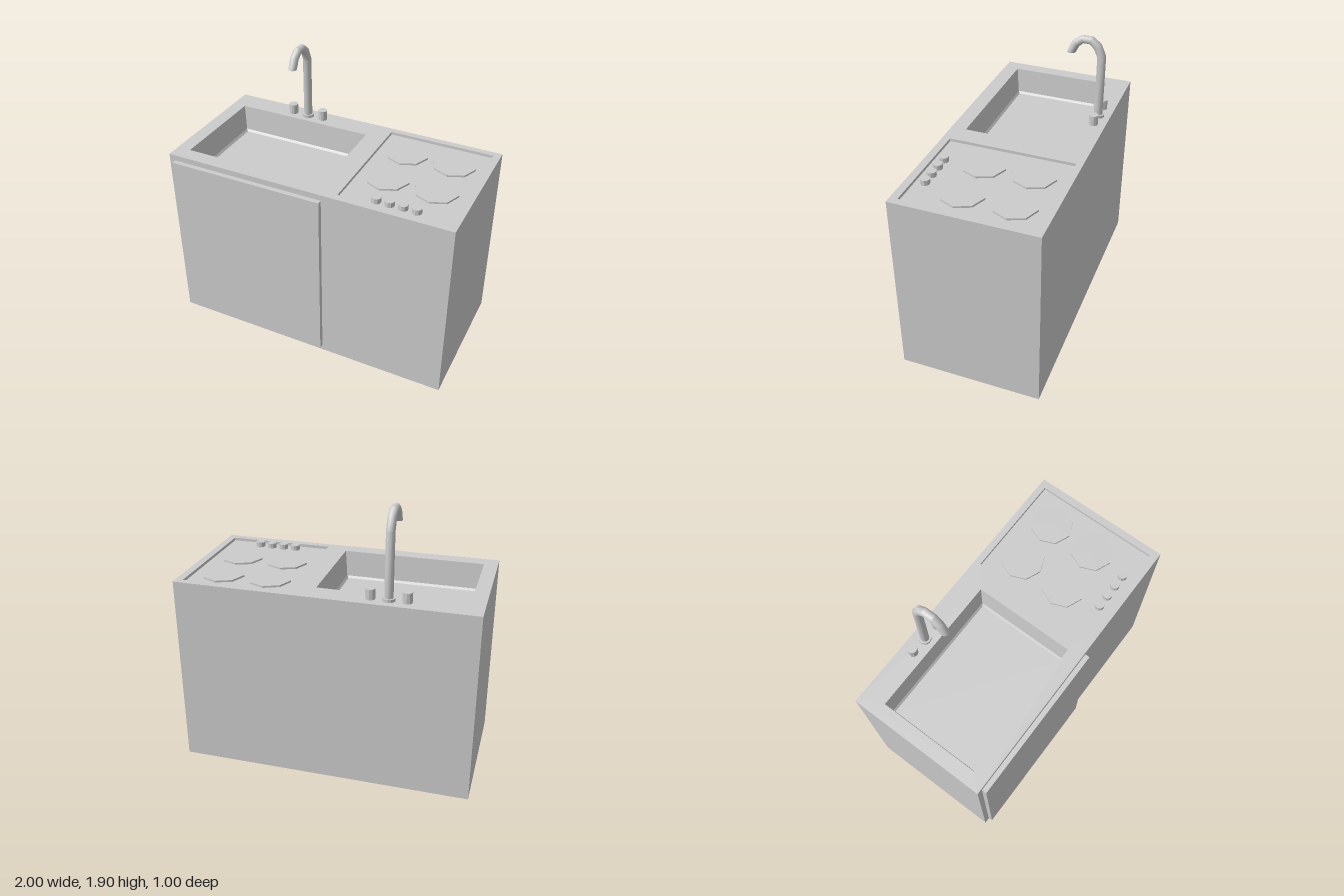
import * as THREE from 'three';
import { toCreasedNormals } from 'three/addons/utils/BufferGeometryUtils.js';

const TOP = 1.32;
const material = new THREE.MeshStandardMaterial({ color: 0xcccccc });

function add(parent, name, geometry, x = 0, y = 0, z = 0) {
  const mesh = new THREE.Mesh(geometry, material);
  mesh.name = name;
  mesh.position.set(x, y, z);
  parent.add(mesh);
  return mesh;
}

function geometryFrom(positions, index) {
  const g = new THREE.BufferGeometry();
  g.setAttribute('position', new THREE.Float32BufferAttribute(positions, 3));
  g.setIndex(index);
  return g;
}

// Rectangle { x0, x1, z0, z1 } lofted down through [inset, y] steps and closed at
// the bottom; inward = true turns the faces to the inside.
function rectLoft({ x0, x1, z0, z1 }, steps, inward) {
  const pos = [], index = [];
  const tri = (a, b, c) => index.push(...(inward ? [a, c, b] : [a, b, c]));
  steps.forEach(([d, y], i) => {
    pos.push(x0 + d, y, z0 + d, x1 - d, y, z0 + d, x1 - d, y, z1 - d, x0 + d, y, z1 - d);
    if (i === 0) return;
    const a = (i - 1) * 4, b = i * 4;
    for (let j = 0; j < 4; j++) {
      const k = (j + 1) % 4;
      tri(a + j, a + k, b + k);
      tri(a + j, b + k, b + j);
    }
  });
  const e = (steps.length - 1) * 4;
  tri(e, e + 1, e + 2);
  tri(e, e + 2, e + 3);
  return toCreasedNormals(geometryFrom(pos, index), 0.1);
}

// Spout swept through mitred rings given as [outer z, outer y, inner z, inner y]
function spoutGeometry(rings, radius, sides) {
  const pos = [], index = [];
  rings.forEach(([zo, yo, zi, yi], i) => {
    for (let j = 0; j < sides; j++) {
      const t = (j / sides) * Math.PI * 2, c = Math.cos(t) / 2;
      pos.push(Math.sin(t) * radius, (yo + yi) / 2 + (yo - yi) * c, (zo + zi) / 2 + (zo - zi) * c);
      if (i === 0) continue;
      const k = (j + 1) % sides, a = (i - 1) * sides, b = i * sides;
      index.push(a + j, b + j, a + k, a + k, b + j, b + k);
    }
  });
  const e = (rings.length - 1) * sides;
  for (let j = 1; j < sides - 1; j++) index.push(e, e + j + 1, e + j);
  return toCreasedNormals(geometryFrom(pos, index), 0.6);
}

function rectPath(Type, { x0, x1, z0, z1 }) {
  return new Type([[x0, -z0], [x1, -z0], [x1, -z1], [x0, -z1]].map(p => new THREE.Vector2(...p)));
}

function cylinder(radius, height, sides) {
  const g = new THREE.CylinderGeometry(radius, radius, height, sides);
  g.translate(0, height / 2, 0);
  return toCreasedNormals(g, 0.4);
}

export function createModel() {
  const model = new THREE.Group();
  model.name = 'kitchenUnit';

  // Cabinet shell, worktop with two openings, and door
  const body = { x0: -1, x1: 1, z0: -0.5, z1: 0.467 };
  const sink = { x0: -0.905, x1: 0.075, z0: -0.34, z1: 0.365 };
  const hob = { x0: 0.22, x1: 0.95, z0: -0.455, z1: 0.415 };
  add(model, 'cabinet', rectLoft(body, [[0, TOP], [0, 0]], false));
  const top = rectPath(THREE.Shape, body);
  top.holes.push(rectPath(THREE.Path, sink), rectPath(THREE.Path, hob));
  add(model, 'worktop', new THREE.ShapeGeometry(top).rotateX(-Math.PI / 2), 0, TOP, 0);
  add(model, 'door', new THREE.BoxGeometry(1.09, 1.235, 0.033), -0.415, 0.6625, 0.4835);

  // Sunken basin and shallow hob tray
  add(model, 'sinkBasin', rectLoft(sink, [[0, TOP], [0.015, 1.14], [0.027, 1.125]], true));
  const trayY = TOP - 0.02;
  add(model, 'hobTray', rectLoft(hob, [[0, TOP], [0, trayY]], true));

  // Burners and hob knobs
  for (const x of [0.42, 0.75]) {
    for (const z of [-0.25, 0.085]) add(model, 'burner', cylinder(0.145, 0.012, 8), x, trayY, z);
  }
  for (let i = 0; i < 4; i++) {
    add(model, 'hobKnob', cylinder(0.032, 0.035, 10), 0.452 + i * 0.089, trayY, 0.35);
  }

  // Tap: base collar, curved spout and two handles
  const tap = new THREE.Group();
  tap.name = 'tap';
  tap.position.x = -0.415;
  model.add(tap);
  add(tap, 'tapBase', cylinder(0.042, 0.02, 12), 0, TOP, -0.415);
  add(tap, 'spout', spoutGeometry([
    [-0.445, TOP, -0.385, TOP],
    [-0.445, 1.77, -0.385, 1.76],
    [-0.41, 1.85, -0.36, 1.815],
    [-0.35, 1.897, -0.33, 1.845],
    [-0.27, 1.897, -0.29, 1.845],
    [-0.21, 1.85, -0.26, 1.82],
    [-0.175, 1.77, -0.235, 1.77],
  ], 0.029, 12));
  for (const side of [-1, 1]) {
    add(tap, 'tapHandle', cylinder(0.032, 0.07, 10), side * 0.117, TOP, -0.415);
  }
  return model;
}
